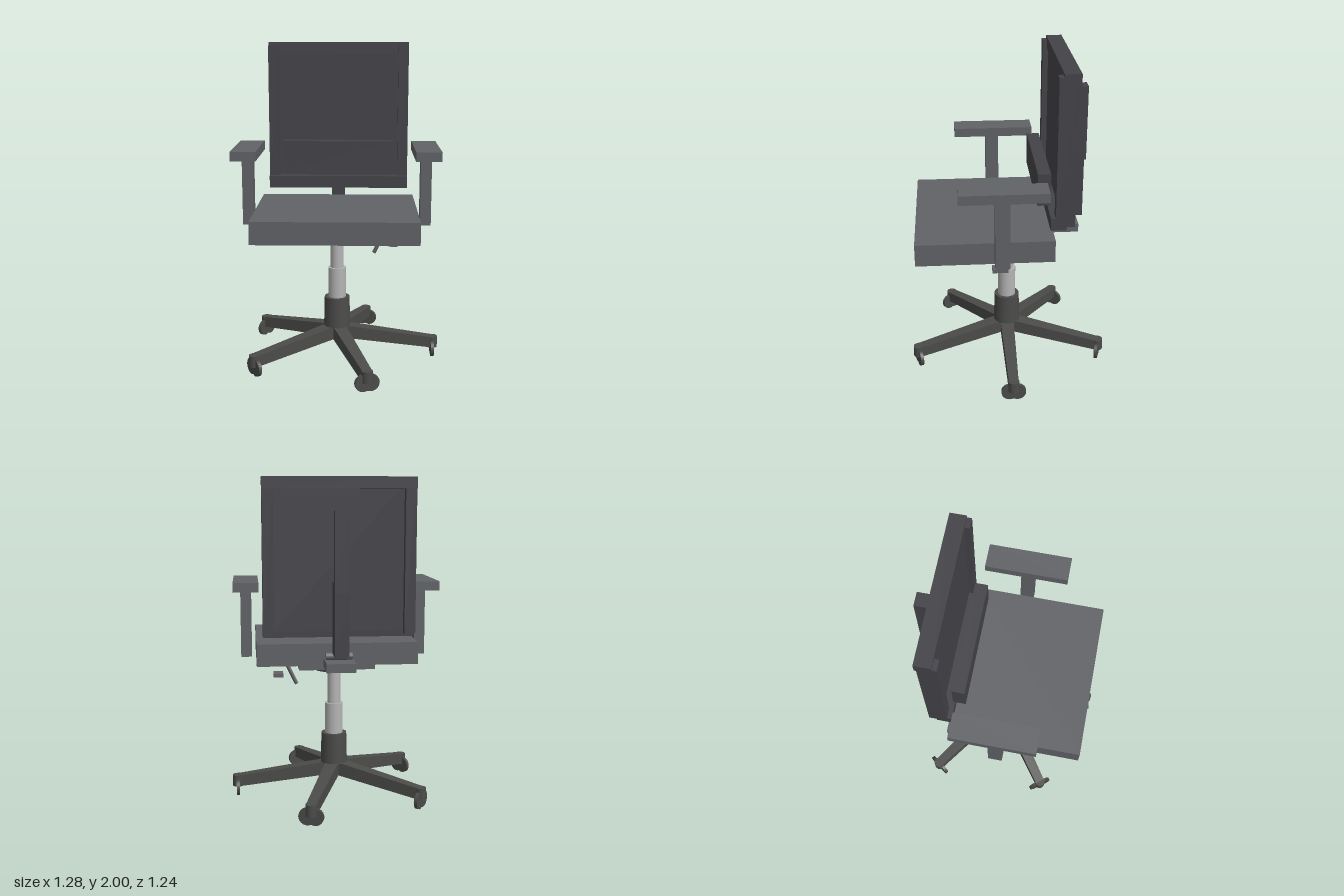
import * as THREE from 'three';

const paint = (color) => new THREE.MeshStandardMaterial({ color });
const FABRIC = paint(0x606266);
const FRAME = paint(0x434248);
const BASE = paint(0x4b4b4a);
const STEEL = paint(0xb4b4b4);
const AXIS_X = -0.015; // shared centre line of column, seat and back

export function createModel() {
  const chair = new THREE.Group();
  chair.name = 'officeChair';

  const add = (name, geometry, material, parent = chair) => {
    const mesh = new THREE.Mesh(geometry, material);
    mesh.name = name;
    parent.add(mesh);
    return mesh;
  };
  // Box given by its limits on each axis
  const box = (name, [x0, x1], [y0, y1], [z0, z1], material, parent) => {
    const mesh = add(name, new THREE.BoxGeometry(x1 - x0, y1 - y0, z1 - z0), material, parent);
    mesh.position.set((x0 + x1) / 2, (y0 + y1) / 2, (z0 + z1) / 2);
    return mesh;
  };
  // Upright cylinder between two heights
  const post = (name, rTop, rBottom, y0, y1, material, x = AXIS_X, parent = chair) => {
    const mesh = add(name, new THREE.CylinderGeometry(rTop, rBottom, y1 - y0, 24), material, parent);
    mesh.position.set(x, (y0 + y1) / 2, 0);
    return mesh;
  };

  // Seat and the mechanism under it
  box('seatCushion', [-0.505, 0.475], [0.877, 1.013], [-0.253, 0.57], FABRIC);
  box('seatPlate', [-0.25, 0.217], [0.838, 0.877], [-0.192, 0.277], FABRIC);
  post('swivelDisc', 0.125, 0.125, 0.808, 0.838, BASE);
  box('backBracket', [-0.103, 0.072], [0.87, 0.923], [-0.448, -0.245], FABRIC);
  const pivot = add('backPivot', new THREE.CylinderGeometry(0.023, 0.023, 0.16, 16), FABRIC);
  pivot.rotation.z = Math.PI / 2;
  pivot.position.set(AXIS_X, 0.945, -0.31);

  // Height lever and its paddle
  const lever = add('heightLever', new THREE.CylinderGeometry(0.012, 0.012, 0.19, 12), FABRIC);
  lever.position.set(0.26, 0.788, 0.063);
  lever.rotation.z = -0.45;
  box('leverPaddle', [0.305, 0.366], [0.753, 0.777], [0.015, 0.112], FABRIC);

  // Backrest frame, panel and lumbar pad
  const back = new THREE.Group();
  back.name = 'backrest';
  chair.add(back);
  box('topRail', [-0.463, 0.437], [1.93, 2], [-0.38, -0.283], FRAME, back);
  box('bottomRail', [-0.463, 0.437], [1.063, 1.14], [-0.32, -0.226], FRAME, back);
  for (const x of [-0.463, 0.372]) {
    box('sideRail', [x, x + 0.065], [1.083, 1.98], [-0.368, -0.255], FRAME, back);
  }
  box('backPanel', [-0.4, 0.374], [1.1, 1.96], [-0.32, -0.29], FRAME, back);
  box('lumbarPad', [-0.367, 0.337], [1.18, 1.378], [-0.235, -0.157], FRAME, back);
  box('lowerSpine', [-0.057, 0.027], [0.965, 1.395], [-0.475, -0.343], FRAME, back);
  box('upperSpine', [-0.057, 0.027], [1.34, 1.807], [-0.487, -0.41], FRAME, back);

  // Armrests, mirrored about the centre line
  for (const side of [-1, 1]) {
    const arm = new THREE.Group();
    arm.name = side > 0 ? 'leftArmrest' : 'rightArmrest';
    arm.position.x = AXIS_X + side * 0.55;
    chair.add(arm);
    box('armPad', [-0.077, 0.077], [1.32, 1.377], [-0.2, 0.313], FABRIC, arm);
    box('armPost', [-0.034, 0.034], [0.89, 1.32], [0.02, 0.106], FABRIC, arm);
  }

  // Gas column and hub
  post('upperColumn', 0.042, 0.042, 0.58, 0.81, STEEL);
  post('lowerColumn', 0.057, 0.057, 0.38, 0.59, STEEL);
  post('hub', 0.08, 0.085, 0.2, 0.395, BASE);

  // Leg: a beam along +x that slopes down and narrows towards its tip
  const REACH = 0.616;
  const legGeometry = new THREE.BoxGeometry(1, 1, 1);
  const p = legGeometry.attributes.position;
  for (let i = 0; i < p.count; i++) {
    const t = p.getX(i) + 0.5;
    const top = p.getY(i) > 0;
    const y = top ? THREE.MathUtils.lerp(0.215, 0.128, t) : THREE.MathUtils.lerp(0.13, 0.058, t);
    p.setXYZ(i, t * REACH, y, p.getZ(i) * THREE.MathUtils.lerp(0.088, 0.06, t));
  }
  legGeometry.computeVertexNormals();

  // Five legs, each with a twin-disc caster
  for (let i = 0; i < 5; i++) {
    const leg = new THREE.Group();
    leg.name = 'baseLeg';
    leg.position.x = AXIS_X;
    leg.rotation.y = (i * 2 * Math.PI) / 5;
    chair.add(leg);
    add('legBeam', legGeometry, BASE, leg);
    post('legTip', 0.034, 0.034, 0.057, 0.128, BASE, REACH, leg);
    for (const z of [-0.024, 0.024]) {
      const wheel = add('casterWheel', new THREE.CylinderGeometry(0.052, 0.052, 0.02, 24), BASE, leg);
      wheel.rotation.z = Math.PI / 2;
      wheel.position.set(REACH, 0.052, z);
    }
  }
  return chair;
}
